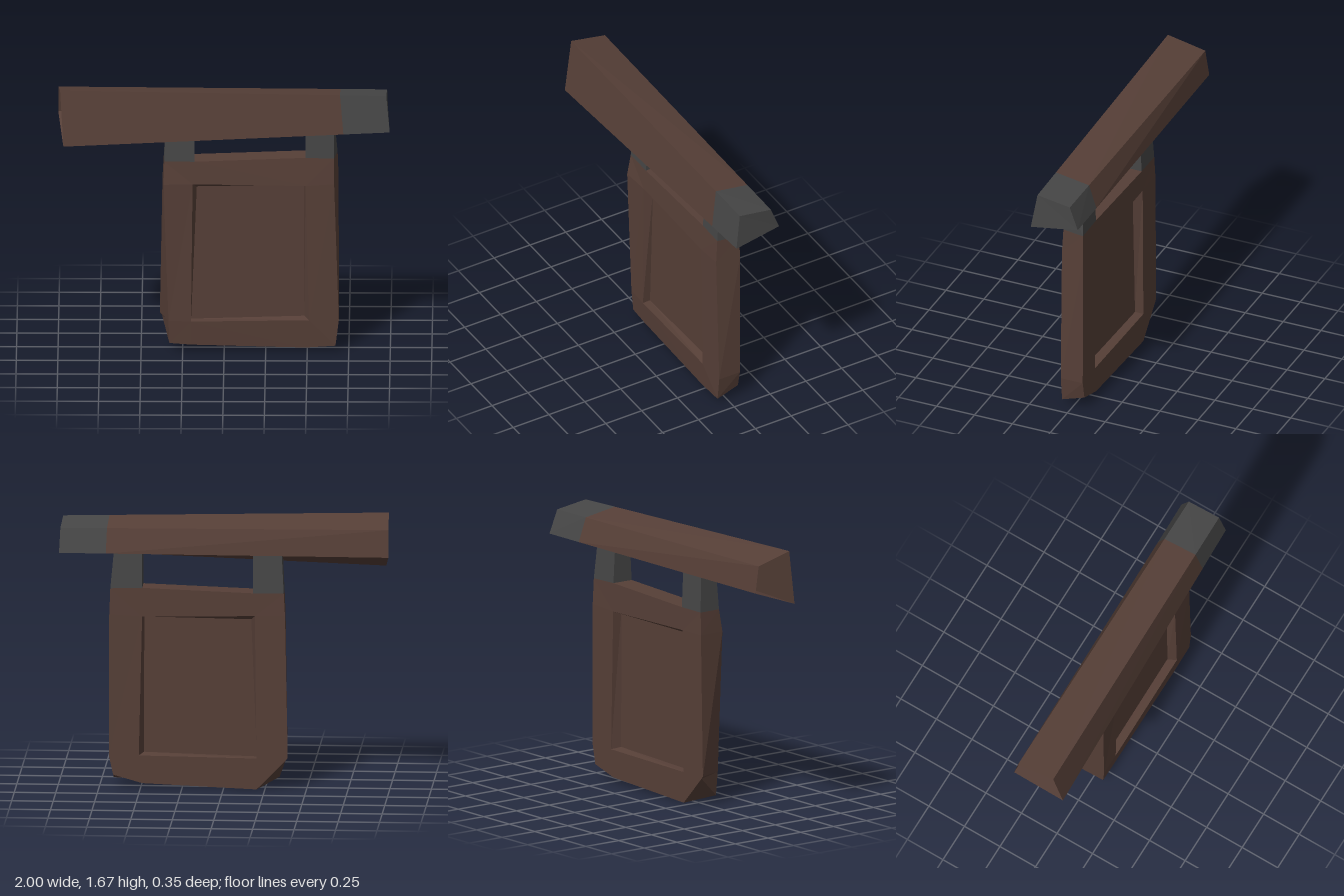
import * as THREE from 'three';

// Skins a chain of closed rings with flat faces; ends can be capped.
function loft(name, rings, material, capStart = false, capEnd = false) {
  const pos = [];
  const same = (p, q) => p.every((v, k) => v === q[k]);
  const tri = (a, b, c) => {
    if (!same(a, b) && !same(b, c) && !same(a, c)) pos.push(...a, ...b, ...c);
  };
  for (let r = 0; r + 1 < rings.length; r++) {
    const a = rings[r], b = rings[r + 1];
    a.forEach((p, i) => {
      const j = (i + 1) % a.length;
      tri(p, b[i], b[j]);
      tri(p, b[j], a[j]);
    });
  }
  const first = rings[0], last = rings[rings.length - 1];
  for (let i = 1; i + 1 < first.length; i++) {
    if (capStart) tri(first[0], first[i], first[i + 1]);
    if (capEnd) tri(last[0], last[i + 1], last[i]);
  }
  const geometry = new THREE.BufferGeometry();
  geometry.setAttribute('position', new THREE.Float32BufferAttribute(pos, 3));
  geometry.computeVertexNormals();
  const mesh = new THREE.Mesh(geometry, material);
  mesh.name = name;
  return mesh;
}

export function createModel() {
  const wood = new THREE.MeshStandardMaterial({ color: 0x563f37, side: THREE.DoubleSide });
  wood.name = 'dark brown wood';
  const iron = new THREE.MeshStandardMaterial({ color: 0x464646, side: THREE.DoubleSide });
  iron.name = 'dark grey iron';
  const group = new THREE.Group();
  group.name = 'hangingSign';

  // Beam: a tapered four-sided bar, capped at the tip and open at the wall end
  const tip = [[0.976, 1.64, 0.095], [0.997, 1.42, 0.13], [0.985, 1.465, -0.175], [0.98, 1.608, -0.12]];
  const wallEnd = [[-0.987, 1.678, 0.117], [-0.967, 1.34, 0.173], [-1, 1.455, -0.15], [-0.998, 1.62, -0.125]];
  const split = tip.map((p, i) => p.map((v, k) => v + (wallEnd[i][k] - v) * 0.142));
  group.add(loft('beamTip', [tip, split], iron, true));
  group.add(loft('beam', [split, wallEnd], wood));

  // Board outline, counterclockwise from the upper left, front and back
  const frontOuter = [
    [-0.36, 1.21, 0.07], [-0.365, 1.07, 0.092], [-0.335, 0.2, 0.08], [-0.33, 0.055, 0.07],
    [-0.2, 0.045, 0.07], [0.49, 0.028, 0.07], [0.67, 0.04, 0.07], [0.69, 0.2, 0.07],
    [0.662, 1.07, 0.075], [0.66, 1.23, 0.066], [0.49, 1.235, 0.066], [-0.18, 1.21, 0.07]];
  const backOuter = [
    [-0.364, 1.21, -0.073], [-0.372, 1.07, -0.077], [-0.388, 0.2, -0.075], [-0.375, 0.185, -0.075],
    [-0.2, 0.005, -0.075], [0.49, 0.035, -0.075], [0.665, 0.085, -0.075], [0.69, 0.2, -0.075],
    [0.688, 1.07, -0.077], [0.682, 1.23, -0.073], [0.49, 1.235, -0.073], [-0.18, 1.21, -0.073]];

  // Opening corners (upper left, lower left, lower right, upper right) matched to the outline
  const match = [0, 0, 1, 1, 1, 2, 2, 2, 3, 3, 3, 0];
  const opening = (corners, z) => match.map((c) => [...corners[c], z]);
  const rim = [[-0.19, 1.07], [-0.2, 0.195], [0.51, 0.205], [0.49, 1.06]];
  const floor = [[-0.165, 1.04], [-0.199, 0.197], [0.482, 0.217], [0.48, 1.052]];
  const flat = (z) => floor.map((p) => [...p, z]);
  group.add(loft('boardFrame', [
    opening(floor, 0.03), opening(rim, 0.08), frontOuter,
    backOuter, opening(rim, -0.075), opening(floor, -0.02)], wood));
  group.add(loft('boardPanel', [flat(0.03), flat(-0.02)], wood, true, true));

  // Hangers: short iron posts rising from the board corners into the beam
  const hanger = (name, left, right, topLeft, topRight) => {
    const bottom = [frontOuter[left], frontOuter[right], backOuter[right], backOuter[left]];
    const top = [[topLeft, 1.47, 0.053], [topRight, 1.47, 0.053], [topRight, 1.47, -0.06], [topLeft, 1.47, -0.06]];
    group.add(loft(name, [top, bottom], iron, true));
  };
  hanger('rightHanger', 0, 11, -0.35, -0.178);
  hanger('leftHanger', 10, 9, 0.49, 0.66);

  return group;
}
